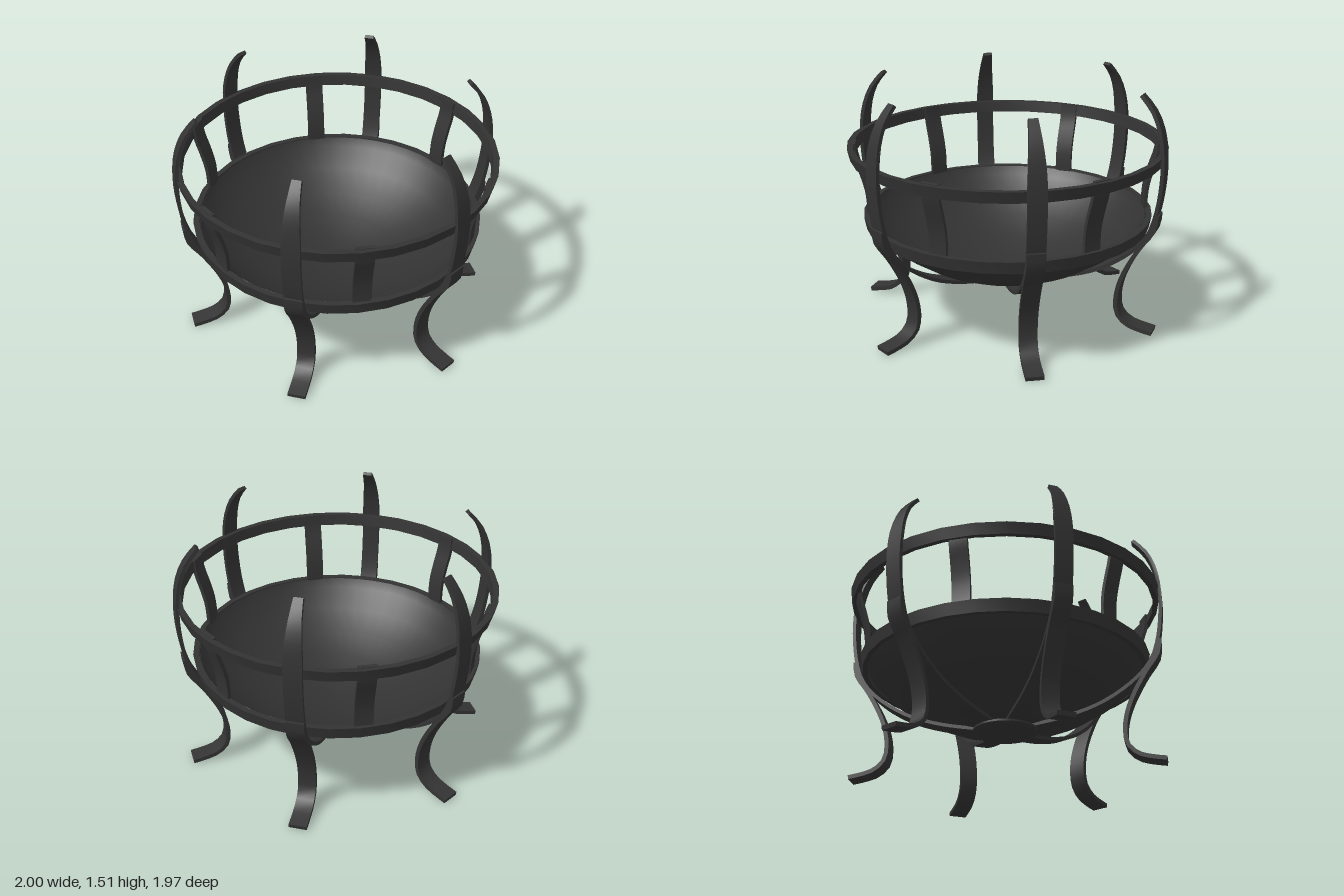
import * as THREE from 'three';
import { toCreasedNormals } from 'three/addons/utils/BufferGeometryUtils.js';

const WIDTH = 0.11;
const metal = new THREE.MeshStandardMaterial({ color: 0x333333, side: THREE.DoubleSide });

// Flat bar bent along a radial profile of [radius, height] points
function strap(points, samples, thickness, widthAt = () => 1) {
  const curve = new THREE.SplineCurve(points.map(p => new THREE.Vector2(...p)));
  const outer = [], inner = [];
  for (let i = 0; i <= samples; i++) {
    const p = curve.getPointAt(i / samples), t = curve.getTangentAt(i / samples);
    const n = new THREE.Vector2(-t.y, t.x).multiplyScalar(thickness / 2);
    outer.push(p.clone().add(n));
    inner.unshift(p.clone().sub(n));
  }
  const geometry = new THREE.ExtrudeGeometry(new THREE.Shape([...outer, ...inner]),
    { depth: WIDTH, bevelEnabled: false });
  geometry.translate(0, 0, -WIDTH / 2);
  const pos = geometry.attributes.position;
  for (let i = 0; i < pos.count; i++) pos.setZ(i, pos.getZ(i) * widthAt(pos.getY(i)));
  return toCreasedNormals(geometry, 0.6);
}

function lathe(points, segments) {
  const profile = points.map(p => new THREE.Vector2(...p));
  return toCreasedNormals(new THREE.LatheGeometry(profile, segments), 0.6);
}

export function createModel() {
  const group = new THREE.Group();
  const add = (name, geometry, angle = 0) => {
    const mesh = new THREE.Mesh(geometry, metal);
    mesh.name = name;
    mesh.rotation.y = -THREE.MathUtils.degToRad(angle);
    group.add(mesh);
  };

  // Bowl shell: outside from the centre up, then back down the inside
  const bowl = [[0, 0.27], [0.2, 0.29], [0.4, 0.345], [0.58, 0.43], [0.73, 0.53], [0.84, 0.635], [0.87, 0.69]];
  const inside = bowl.map(([r, y]) => [Math.max(0, r - 0.012), y + 0.015]).reverse();
  add('bowl', lathe([...bowl, ...inside], 48));
  add('bowlRim', lathe([[0.855, 0.635], [0.885, 0.635], [0.9, 0.71], [0.865, 0.71], [0.855, 0.635]], 32));

  // Shallow cone that ties the straps together under the bowl
  add('bottomCap', lathe([[0, 0.21], [0.2, 0.262], [0.2, 0.275], [0, 0.285]], 24));

  add('upperRing', lathe([[0.938, 1.08], [0.968, 1.08], [0.984, 1.15], [0.948, 1.15], [0.938, 1.08]], 32));

  // Curved upright that continues inward beneath the bowl, tapering at the tip
  const upright = strap([
    [0.835, 1.51], [0.91, 1.42], [0.96, 1.3], [0.983, 1.15], [0.982, 0.98], [0.955, 0.79],
    [0.9, 0.64], [0.78, 0.51], [0.6, 0.395], [0.4, 0.325], [0.2, 0.285], [0.09, 0.275],
  ], 30, 0.022, y => 1 - 0.5 * THREE.MathUtils.smoothstep(y, 1.15, 1.75) / 0.66);

  // S-shaped foot bar fixed to the outside of the upright
  const foot = strap([
    [0.963, 0.79], [0.948, 0.69], [0.87, 0.575], [0.79, 0.43], [0.745, 0.31],
    [0.73, 0.2], [0.745, 0.115], [0.8, 0.06], [0.87, 0.035], [0.965, 0.018],
  ], 20, 0.026);

  // Slat joining the bowl rim to the upper ring
  const slat = strap([
    [0.868, 0.65], [0.864, 0.74], [0.872, 0.85], [0.9, 0.96], [0.932, 1.06], [0.942, 1.155],
  ], 12, 0.022);

  for (let i = 0; i < 6; i++) {
    add('legUpright', upright, -4 + i * 60);
    add('legFoot', foot, -4 + i * 60);
    add('slat', slat, -28 + i * 60);
  }
  return group;
}
